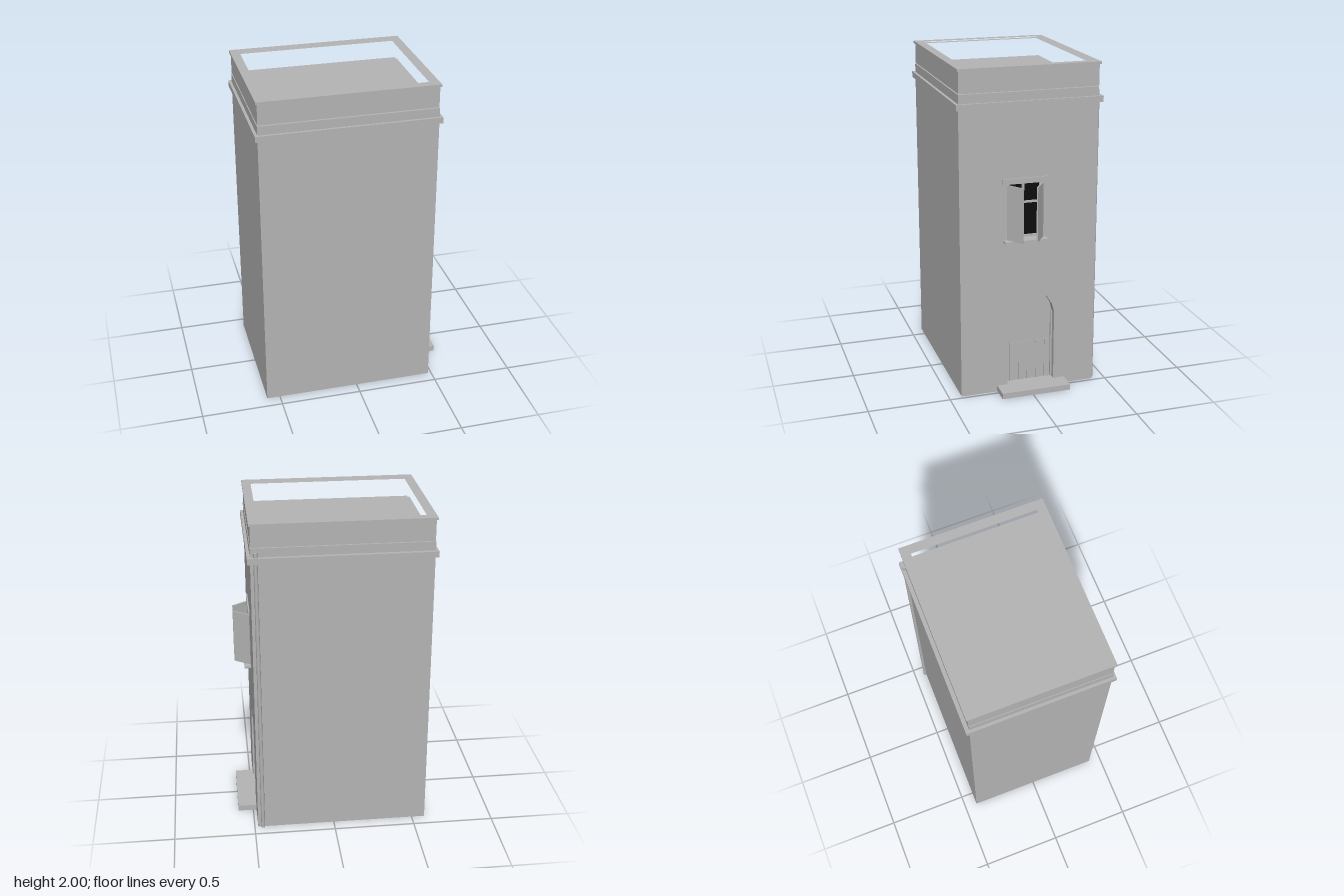
import * as THREE from 'three';

export function createModel() {
  const model = new THREE.Group();
  model.name = 'tower';
  const stone = new THREE.MeshStandardMaterial({ color: 0xb4b4b4 });
  stone.name = 'grey stone';
  const glass = new THREE.MeshStandardMaterial({ color: 0x0d0d0d });
  glass.name = 'dark glass';

  const add = (name, geometry, material = stone) => {
    const mesh = new THREE.Mesh(geometry, material);
    mesh.name = name;
    model.add(mesh);
    return mesh;
  };
  // Box given by its limits on each axis
  const box = (name, [x0, x1], [y0, y1], [z0, z1], material) => {
    const mesh = add(name, new THREE.BoxGeometry(x1 - x0, y1 - y0, z1 - z0), material);
    mesh.position.set((x0 + x1) / 2, (y0 + y1) / 2, (z0 + z1) / 2);
    return mesh;
  };
  // Outline in (z, y), extruded along x from x0 to x1
  const points = (list) => list.map(([z, y]) => new THREE.Vector2(-z, y));
  const slab = (name, shape, x0, x1) => {
    const geometry = new THREE.ExtrudeGeometry(shape, { depth: x1 - x0, bevelEnabled: false });
    geometry.rotateY(Math.PI / 2).translate(x0, 0, 0);
    return add(name, geometry);
  };
  // Rectangular ring lying flat from y0 to y1
  const rect = (Type, x0, x1, z0, z1) =>
    new Type([[x0, z0], [x1, z0], [x1, z1], [x0, z1]].map(([x, z]) => new THREE.Vector2(x, -z)));
  const ring = (name, outer, inner, y0, y1) => {
    const shape = rect(THREE.Shape, ...outer);
    shape.holes.push(rect(THREE.Path, ...inner));
    const geometry = new THREE.ExtrudeGeometry(shape, { depth: y1 - y0, bevelEnabled: false });
    geometry.rotateX(-Math.PI / 2).translate(0, y0, 0);
    return add(name, geometry);
  };

  const back = 0.429, face = 0.479, zMin = -0.421, zMax = 0.423, top = 1.855;

  // Main block, with a pierced wall on the entrance side
  box('mainBlock', [-0.581, back], [0, top], [zMin, zMax]);
  const arch = [[0.133, 0], [0.133, 0.48], [0.098, 0.57], [0.05, 0.608], [0.0, 0.625],
    [-0.05, 0.618], [-0.112, 0.595], [-0.15, 0.535], [-0.164, 0.48], [-0.164, 0]];
  const wall = new THREE.Shape(points([[zMax, 0], ...arch, [zMin, 0], [zMin, top], [zMax, top]]));
  wall.holes.push(new THREE.Path(points([[0.138, 0.972], [-0.087, 0.972], [-0.087, 1.313], [0.138, 1.313]])));
  slab('entranceWall', wall, back, face);

  // Door with raised planks, jambs and a step
  slab('door', new THREE.Shape(points(arch)), back, 0.433);
  for (let i = 0; i < 5; i++) {
    const z = 0.09 - i * 0.0555;
    box('doorPlank', [0.432, 0.438], [0.04, 0.29], [z - 0.014, z + 0.014]);
  }
  box('doorJamb', [back, 0.445], [0, 0.48], [0.123, 0.133]);
  box('doorJamb', [back, 0.445], [0, 0.48], [-0.164, -0.154]);
  box('doorStep', [0.433, 0.595], [0.004, 0.04], [-0.163, 0.132]);
  box('doorStepTread', [face, 0.595], [0.004, 0.04], [-0.234, 0.198]);

  // Window: glass, frame bars, lintel and sill
  box('windowGlass', [back, 0.434], [0.972, 1.313], [-0.087, 0.138], glass);
  for (const z of [0.132, 0.026, -0.081]) {
    box('windowUpright', [0.433, 0.446], [0.972, 1.313], [z - 0.006, z + 0.006]);
  }
  for (const y of [0.978, 1.187, 1.307]) {
    box('windowCrossbar', [0.433, 0.445], [y - 0.006, y + 0.006], [-0.087, 0.138]);
  }
  box('lintel', [0.46, 0.488], [1.313, 1.346], [-0.115, 0.163]);
  box('sill', [0.44, 0.52], [0.959, 0.972], [-0.108, 0.157]);

  // Pair of half-open shutters, hinged at the wall and leaning inwards
  for (const side of [1, -1]) {
    const dx = 0.095, dz = -side * 0.066;
    const shutter = add('shutter', new THREE.BoxGeometry(Math.hypot(dx, dz), 0.335, 0.008));
    shutter.position.set(0.48 + dx / 2, 1.142, 0.025 + side * 0.109 + dz / 2);
    shutter.rotation.y = Math.atan2(-dz, dx);
  }

  // Cornice, roof floor, parapet and its lip
  box('cornice', [-0.598, 0.497], [1.766, 1.802], [-0.444, 0.44]);
  box('roofFloor', [-0.56, 0.46], [1.85, 1.87], [-0.405, 0.4]);
  ring('parapet', [-0.578, 0.476, -0.423, 0.42], [-0.536, 0.434, -0.382, 0.377], 1.86, 1.988);
  ring('parapetLip', [-0.587, 0.484, -0.433, 0.428], [-0.532, 0.43, -0.378, 0.373], 1.986, 2);

  // Downpipe near the rear corner
  const pipe = add('downpipe', new THREE.CylinderGeometry(0.012, 0.012, 1.83, 8));
  pipe.position.set(0.448, 0.915, -0.426);

  return model;
}
